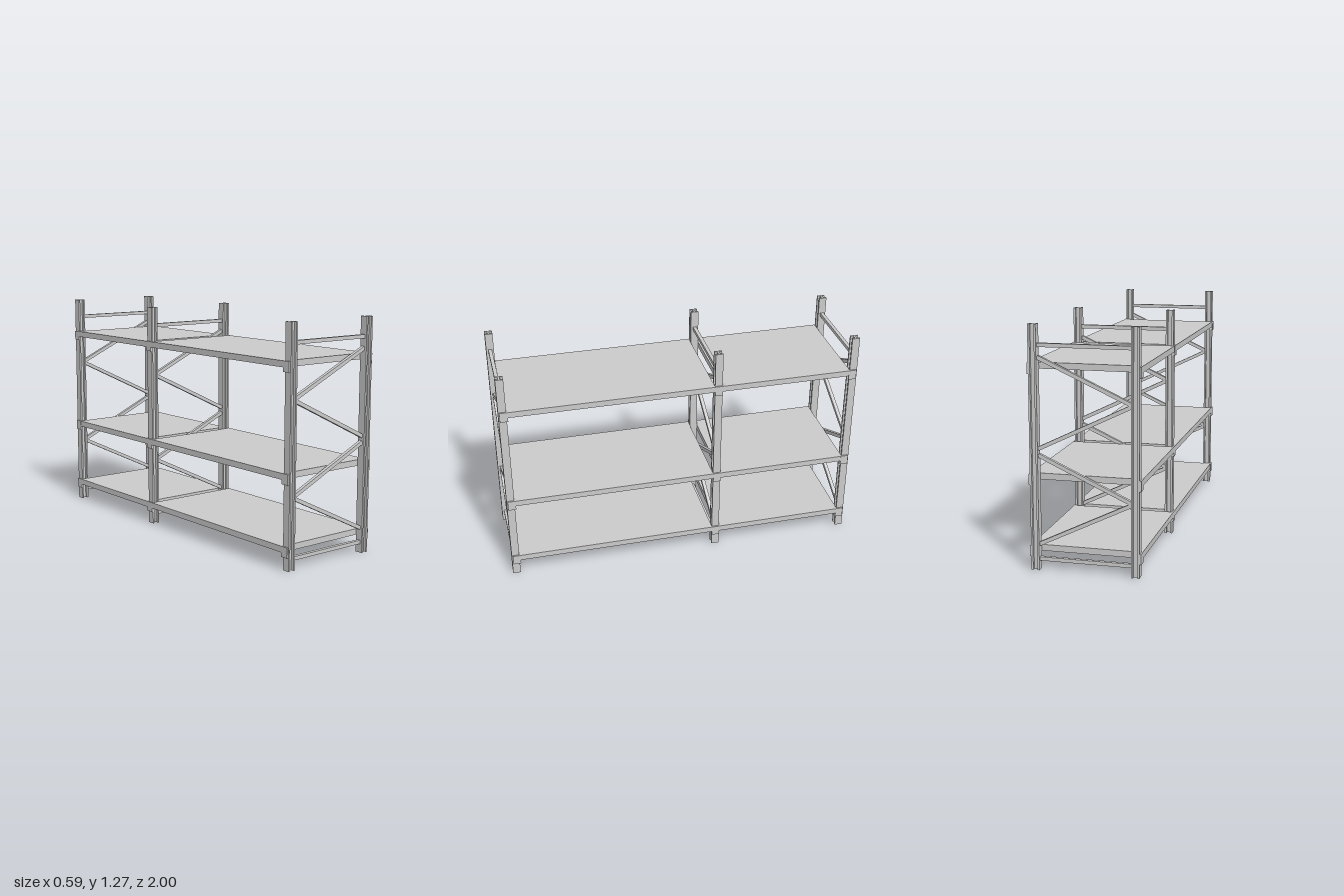
import * as THREE from 'three';

const material = new THREE.MeshStandardMaterial({ color: 0xcccccc, flatShading: true });

const HEIGHT = 1.27;                 // upright height
const POST = 0.043;                  // upright section size
const POST_X = 0.264;                // upright centre
const FRAMES = [0.9785, -0.2, -0.9785];
const SHELF_TOPS = [0.126, 0.505, 1.075];

function box(name, w, h, d, x, y, z) {
  const mesh = new THREE.Mesh(new THREE.BoxGeometry(w, h, d), material);
  mesh.name = name;
  mesh.position.set(x, y, z);
  return mesh;
}

// H-section upright: two flanges facing sideways, joined by a thin web
function makePost(x, z) {
  const a = POST / 2, t = a - 0.01, w = 0.005;
  const shape = new THREE.Shape([
    [-a, -a], [-t, -a], [-t, -w], [t, -w], [t, -a], [a, -a],
    [a, a], [t, a], [t, w], [-t, w], [-t, a], [-a, a],
  ].map(([px, py]) => new THREE.Vector2(px, py)));
  const geometry = new THREE.ExtrudeGeometry(shape, { depth: HEIGHT, bevelEnabled: false });
  geometry.rotateX(-Math.PI / 2);
  const post = new THREE.Mesh(geometry, material);
  post.name = 'post';
  post.position.set(x, 0, z);
  return post;
}

// Square bar between two points in the plane of a frame
function makeBrace(name, [x1, y1], [x2, y2]) {
  const bar = box(name, Math.hypot(x2 - x1, y2 - y1), 0.02, 0.02, (x1 + x2) / 2, (y1 + y2) / 2, 0);
  bar.rotation.z = Math.atan2(y2 - y1, x2 - x1);
  return bar;
}

// Upright frame: two posts, two horizontal ties and zigzag bracing
function makeFrame(z) {
  const frame = new THREE.Group();
  frame.name = 'uprightFrame';
  frame.position.z = z;
  const e = 0.243;
  for (const side of [-1, 1]) frame.add(makePost(side * POST_X, 0));
  for (const y of [0.059, 1.165]) frame.add(makeBrace('horizontalTie', [-e, y], [e, y]));
  for (const y of [0, 0.5]) {
    frame.add(makeBrace('diagonalBrace', [e, 0.137 + y], [-e, 0.374 + y]));
    frame.add(makeBrace('diagonalBrace', [-e, 0.382 + y], [e, 0.604 + y]));
  }
  return frame;
}

export function createModel() {
  const rack = new THREE.Group();
  rack.name = 'storageRack';
  for (const z of FRAMES) rack.add(makeFrame(z));

  for (const top of SHELF_TOPS) {
    // Shelf decks fill the bays between neighbouring frames
    for (let i = 0; i < FRAMES.length - 1; i++) {
      const front = FRAMES[i] - POST / 2, back = FRAMES[i + 1] + POST / 2;
      rack.add(box('shelf', 0.586, 0.033, front - back, 0, top - 0.0165, (front + back) / 2));
    }
    // Connector plates on the outer faces of the posts
    for (const z of FRAMES) {
      const shift = z > 0.5 ? -0.006 : z < -0.5 ? 0.006 : 0;
      for (const side of [-1, 1]) {
        rack.add(box('connectorPlate', 0.01, 0.056, 0.044, side * 0.289, top - 0.0275, z + shift));
      }
    }
  }
  return rack;
}
